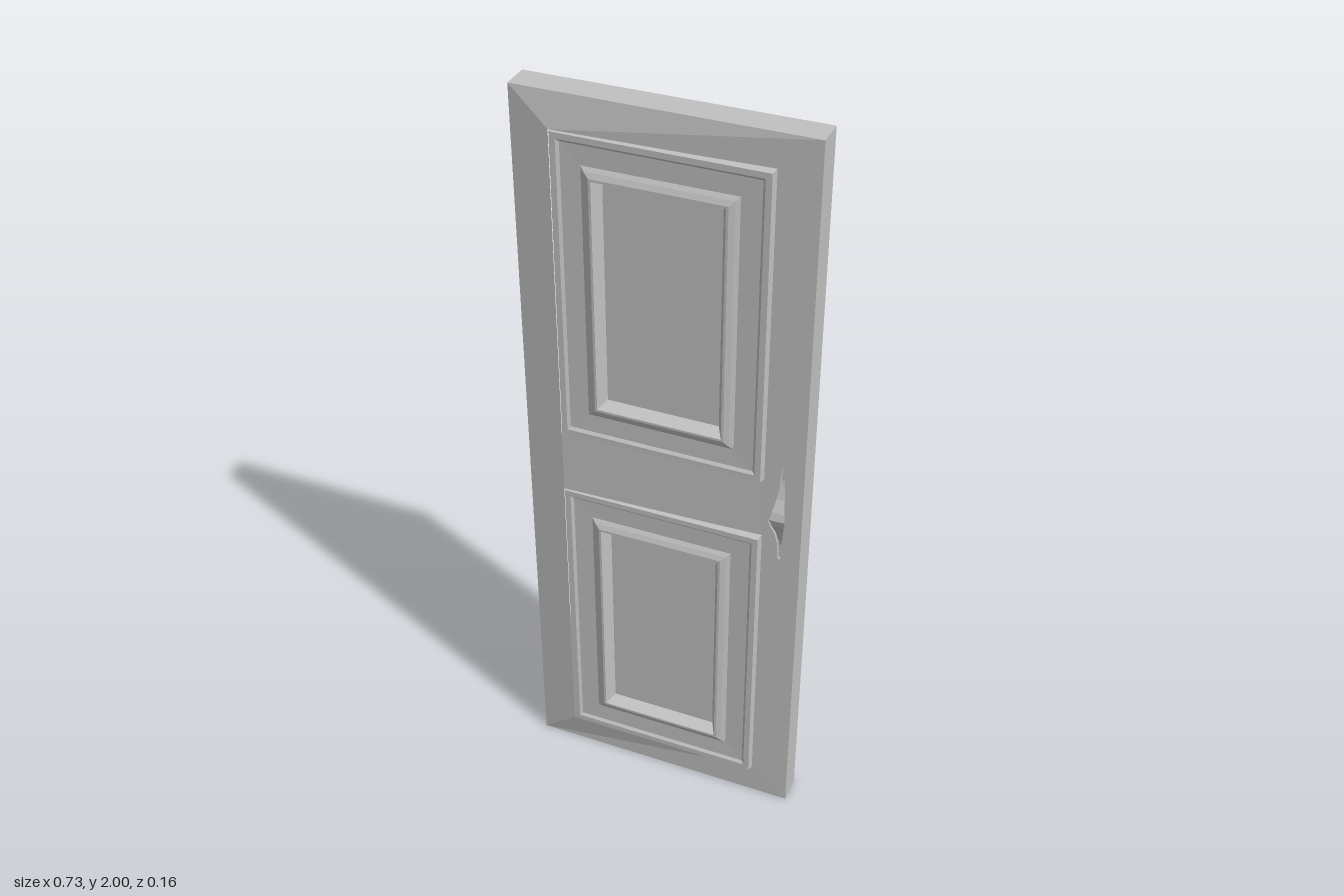
import * as THREE from 'three';

const W = 0.367, H = 2, T = 0.037; // half width, height, half thickness
const PX = 0.265;                  // panel half width
const HINGE_Z = 0.054, LOCK_Z = 0.039; // frame height beside the panels
const PANELS = [[0.09, 0.915], [1.09, 1.915]];

// Flat polygons (counter-clockwise from the front); side -1 mirrors them to the back
function facesGeometry(polys, side = 1) {
  const pos = [];
  for (const p of polys) {
    for (let i = 1; i < p.length - 1; i++) {
      const tri = side > 0 ? [p[0], p[i], p[i + 1]] : [p[0], p[i + 1], p[i]];
      for (const [x, y, z] of tri) pos.push(x, y, z * side);
    }
  }
  const g = new THREE.BufferGeometry();
  g.setAttribute('position', new THREE.Float32BufferAttribute(pos, 3));
  g.computeVertexNormals();
  return g;
}

// Bands between successive closed loops, optionally capped at both ends
function loft(loops, capStart, capEnd) {
  const polys = [];
  for (let k = 0; k < loops.length - 1; k++) {
    const a = loops[k], b = loops[k + 1], n = a.length;
    for (let i = 0; i < n; i++) {
      const j = (i + 1) % n;
      polys.push([a[i], a[j], b[j], b[i]]);
    }
  }
  if (capStart) polys.push([...loops[0]].reverse());
  if (capEnd) polys.push(loops[loops.length - 1]);
  return polys;
}

// Stiles and rails: the surface rises toward the panels on the hinge side
function framePolys() {
  const [[b0, b1], [t0, t1]] = PANELS;
  const l = y => [-PX, y, HINGE_Z], r = y => [PX, y, LOCK_Z];
  const L = y => [-W, y, T], R = y => [W, y, T];
  return [
    [L(0), R(0), r(b0), l(b0)],   // bottom rail
    [l(t1), r(t1), R(H), L(H)],   // top rail
    [l(b1), r(b1), r(t0), l(t0)], // middle rail
    [L(1), l(b1), l(t0)],
    [L(0), l(b0), l(b1), L(1)],   // hinge stile
    [L(1), l(t0), l(t1), L(H)],
    [R(0), R(1), r(b1), r(b0)],   // lock stile
    [R(1), R(H), r(t1), r(t0)],
    [R(1), r(t0), r(b1)],
  ];
}

// Moulded panel: rim, sunken field, raised inner border, recessed centre
function panelPolys([y0, y1]) {
  const profile = [[-0.002, 0.036], [0.003, 0.057], [0.018, 0.057], [0.025, 0.051],
    [0.075, 0.05], [0.085, 0.057], [0.098, 0.063], [0.104, 0.063], [0.12, 0.034]];
  const loops = profile.map(([d, z]) => [
    [-PX + d, y0 + d, z], [PX - d, y0 + d, z], [PX - d, y1 - d, z], [-PX + d, y1 - d, z],
  ]);
  return loft(loops, false, true);
}

// Bowed pull handle, broad in the middle and slim at its feet
function handlePolys() {
  const half = [[0.14, 0.042, 0.002, 0.004], [0.115, 0.042, 0.004, 0.007],
    [0.085, 0.046, 0.005, 0.005], [0.05, 0.056, 0.01, 0.004], [0.02, 0.072, 0.016, 0.003]];
  const sections = [
    ...half.map(([y, ...s]) => [-y, ...s]),
    [0, 0.078, 0.02, 0.003],
    ...[...half].reverse(),
  ];
  const loops = sections.map(([y, z, w, t]) => [
    [0.315 - w, 1 + y, z + t], [0.315 - w, 1 + y, z - t],
    [0.315 + w, 1 + y, z - t], [0.315 + w, 1 + y, z + t],
  ].reverse());
  // loops run so that the bands face outward as y increases
  return loft(loops.map(l => [...l].reverse()), true, true);
}

export function createModel() {
  const model = new THREE.Group();
  model.name = 'door';
  const paint = new THREE.MeshStandardMaterial({ color: 0xc0c0c0 });
  paint.name = 'greyPaint';
  const add = (name, polys, side) => {
    const mesh = new THREE.Mesh(facesGeometry(polys, side), paint);
    mesh.name = name;
    model.add(mesh);
  };

  // Outer edge of the slab
  const rim = z => [[-W, 0, z], [W, 0, z], [W, H, z], [-W, H, z]];
  add('doorEdge', loft([rim(-T), rim(T)], false, false));

  for (const [side, label] of [[1, 'front'], [-1, 'back']]) {
    add(label + 'Frame', framePolys(), side);
    add(label + 'LowerPanel', panelPolys(PANELS[0]), side);
    add(label + 'UpperPanel', panelPolys(PANELS[1]), side);
    add(label + 'Handle', handlePolys(), side);
  }
  return model;
}
